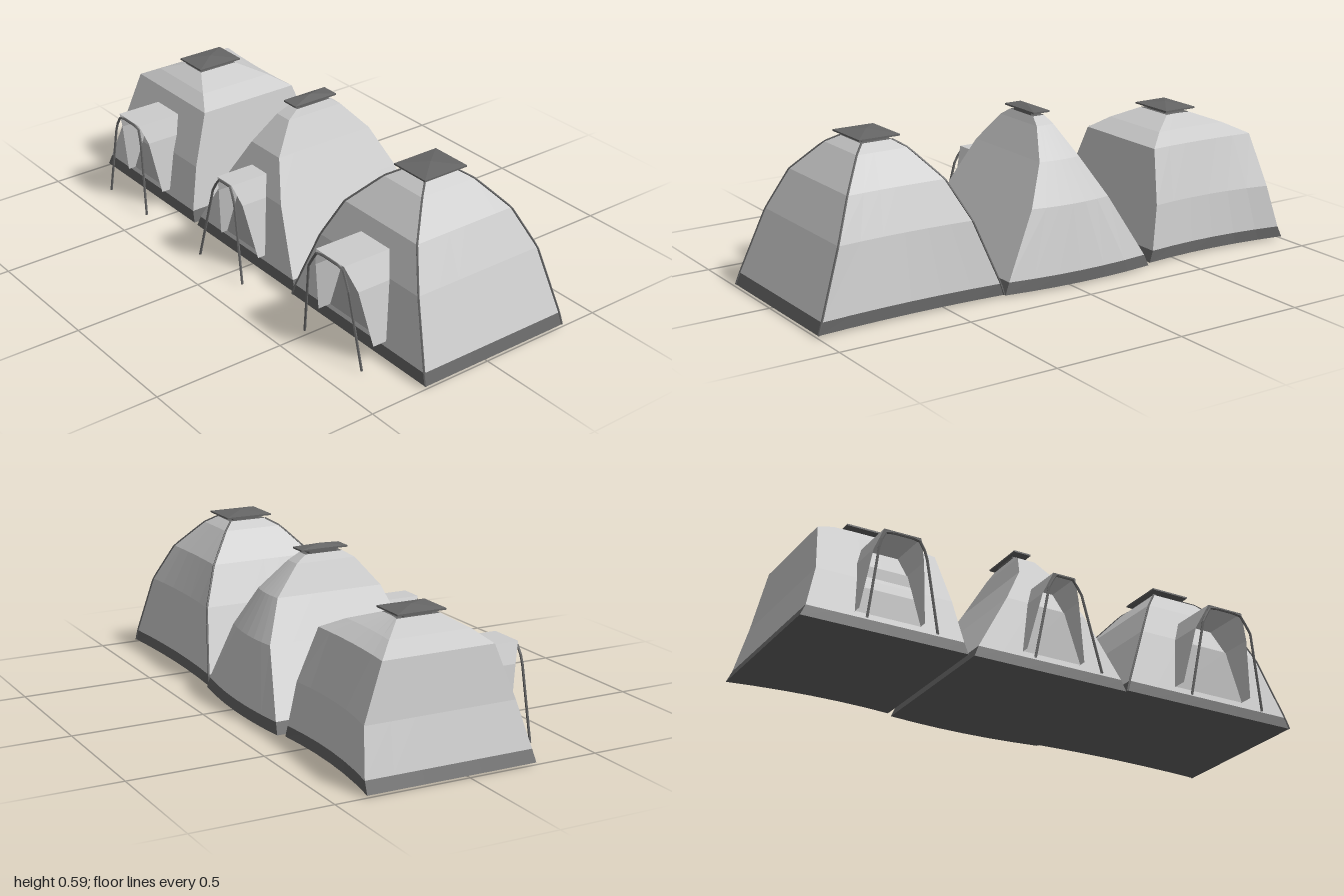
import * as THREE from 'three';

const canvasMat = new THREE.MeshStandardMaterial({ color: 0xcccccc, flatShading: true, side: THREE.DoubleSide });
const doorMat = new THREE.MeshStandardMaterial({ color: 0xaaaaaa, flatShading: true, side: THREE.DoubleSide });
const darkMat = new THREE.MeshStandardMaterial({ color: 0x666666, flatShading: true, side: THREE.DoubleSide });

// rows: [y, right x, left x, front z, back z]; bow: back wall offsets at its two corners and middle
const TENTS = [
  {
    name: 'domeTent', bow: [-0.037, 0, -0.01], cap: [-0.685, 0.14], seams: false,
    rows: [[0.012, -1, -0.375, 0.26, -0.347], [0.055, -0.98, -0.39, 0.255, -0.345], [0.22, -0.935, -0.42, 0.215, -0.325],
      [0.415, -0.907, -0.455, 0.145, -0.265], [0.455, -0.83, -0.53, 0.1, -0.2], [0.492, -0.735, -0.63, 0.04, -0.12]],
    porch: { x: -0.68, half: [0.122, 0.095, 0.07], z: [0.285, 0.32, 0.345], top: 0.357, foot: [0.13, 0.366] },
  },
  {
    name: 'narrowTent', bow: [-0.015, -0.03, 0], cap: [-0.04, 0.07], seams: false,
    rows: [[0.012, -0.353, 0.268, 0.262, -0.362], [0.055, -0.335, 0.25, 0.257, -0.358], [0.29, -0.2, 0.125, 0.215, -0.315],
      [0.435, -0.12, 0.048, 0.165, -0.25], [0.54, -0.077, -0.005, 0.08, -0.155], [0.567, -0.065, -0.017, 0.035, -0.115]],
    porch: { x: -0.04, half: [0.117, 0.075, 0.045], z: [0.285, 0.32, 0.345], top: 0.362, foot: [0.135, 0.37] },
  },
  {
    name: 'wideTent', bow: [-0.015, 0, -0.015], cap: [0.63, 0.16], seams: true,
    rows: [[0.012, 0.267, 0.997, 0.273, -0.337], [0.055, 0.28, 0.982, 0.268, -0.335], [0.29, 0.37, 0.893, 0.226, -0.3],
      [0.435, 0.44, 0.82, 0.175, -0.242], [0.54, 0.53, 0.73, 0.08, -0.153], [0.567, 0.57, 0.69, 0.035, -0.115]],
    porch: { x: 0.632, half: [0.15, 0.115, 0.075], z: [0.32, 0.36, 0.39], top: 0.375, foot: [0.157, 0.375] },
  },
];
const N = 6;

function mesh(name, geometry, material) {
  const m = new THREE.Mesh(geometry, material);
  m.name = name;
  return m;
}

// Surface through equal-length rows of points
function loft(rows) {
  const pos = [], index = [], n = rows[0].length;
  rows.forEach(r => r.forEach(p => pos.push(...p)));
  for (let j = 0; j < rows.length - 1; j++) {
    for (let i = 0; i < n - 1; i++) {
      const a = j * n + i, b = a + 1, c = a + n, d = c + 1;
      index.push(a, b, d, a, d, c);
    }
  }
  const g = new THREE.BufferGeometry();
  g.setAttribute('position', new THREE.Float32BufferAttribute(pos, 3));
  g.setIndex(index);
  g.computeVertexNormals();
  return g;
}

// Closed four-sided ring, counterclockwise from above, with a bowed back side
function ring([y, x0, x1, zf, zb], [r, m, l]) {
  const fade = Math.min(1, Math.max(0, (0.56 - y) / 0.35));
  const back = u => zb + fade * (r * (1 - u) * (1 - 2 * u) + m * 4 * u * (1 - u) + l * u * (2 * u - 1));
  const corners = [[x0, zf], [x1, zf], [x1, back(1)], [x0, back(0)]];
  const pts = [];
  for (let s = 0; s < 4; s++) {
    const a = corners[s], b = corners[(s + 1) % 4];
    for (let i = 0; i < N; i++) {
      const t = i / N;
      pts.push([a[0] + (b[0] - a[0]) * t, y, s === 2 ? back(1 - t) : a[1] + (b[1] - a[1]) * t]);
    }
  }
  pts.push(pts[0]);
  return pts;
}

// Depth of the front wall at a height
function wallZ(rows, y) {
  const k = Math.max(1, rows.findIndex(r => r[0] >= y));
  const a = rows[k - 1], b = rows[k];
  return a[3] + (b[3] - a[3]) * (y - a[0]) / (b[0] - a[0]);
}

function rod(name, points, radius) {
  const path = new THREE.CurvePath();
  const v = points.map(p => new THREE.Vector3(...p));
  for (let i = 0; i < v.length - 1; i++) path.add(new THREE.LineCurve3(v[i], v[i + 1]));
  return mesh(name, new THREE.TubeGeometry(path, 24, radius, 5), darkMat);
}

function buildTent({ name, rows, bow, cap, seams, porch }) {
  const tent = new THREE.Group();
  tent.name = name;
  const rings = rows.map(r => ring(r, bow));
  const flat = (r, up) => {
    const y = r[0][1], x = (r[0][0] + r[N][0]) / 2, z = (r[0][2] + r[2 * N][2]) / 2;
    const centre = r.map(() => [x, y, z]);
    return loft(up ? [r, centre] : [centre, r]);
  };

  // Shell, ground skirt, floor and flat top
  tent.add(mesh('canvasWalls', loft(rings.slice(1)), canvasMat));
  tent.add(mesh('groundSkirt', loft(rings.slice(0, 2)), darkMat));
  tent.add(mesh('floor', flat(rings[0], false), darkMat));
  tent.add(mesh('flatTop', flat(rings[rings.length - 1], true), darkMat));

  // Roof vent: neck and shallow pyramid cover
  const topY = rows[rows.length - 1][0];
  const neck = mesh('ventNeck', new THREE.BoxGeometry(cap[1] * 0.6, 0.022, 0.11), darkMat);
  neck.position.set(cap[0], topY + 0.007, -0.042);
  const [w, d] = [cap[1] / 2, 0.0935];
  const square = (k, y) => [[-w, d], [w, d], [w, -d], [-w, -d], [-w, d]].map(p => [p[0] * k, y, p[1] * k]);
  const cover = mesh('ventCover', loft([square(0, 0), square(1, 0), square(1, 0.006), square(0, 0.018)]), darkMat);
  cover.position.set(cap[0], topY + 0.013, -0.042);
  tent.add(neck, cover);

  // Porch canopy, open at the front
  const { x, half, z, top, foot } = porch;
  const ys = [0.075, 0.285, top];
  const profile = [0, 1, 2].map(i => [x - half[i], ys[i], z[i]]);
  profile.push(...[2, 1, 0].map(i => [x + half[i], ys[i], z[i]]));
  const inner = profile.map(p => [p[0], p[1], wallZ(rows, p[1]) - 0.01]);
  tent.add(mesh('porchCanopy', loft([profile, inner]), canvasMat));

  // Door panel on the wall under the canopy
  const door = [0, 1].map(i => [-1, 1].map(s => [x + s * half[i], ys[i], wallZ(rows, ys[i]) + 0.004]));
  tent.add(mesh('door', loft(door), doorMat));

  // Bent pole holding the canopy edge
  const pole = [[-foot[0], 0.005, foot[1]], [-half[1] + 0.008, 0.3, z[2] + 0.006], [-half[2] + 0.008, top - 0.008, z[2]]];
  const arch = [...pole, ...pole.map(p => [-p[0], p[1], p[2]]).reverse()];
  tent.add(rod('porchPole', arch.map(p => [p[0] + x, p[1], p[2]]), 0.005));

  // Corner poles along the ridges
  if (seams) {
    for (let s = 0; s < 4; s++) tent.add(rod('cornerPole', rings.map(r => r[s * N]), 0.004));
  }
  return tent;
}

export function createModel() {
  const model = new THREE.Group();
  model.name = 'tentRow';
  TENTS.forEach(t => model.add(buildTent(t)));
  return model;
}
